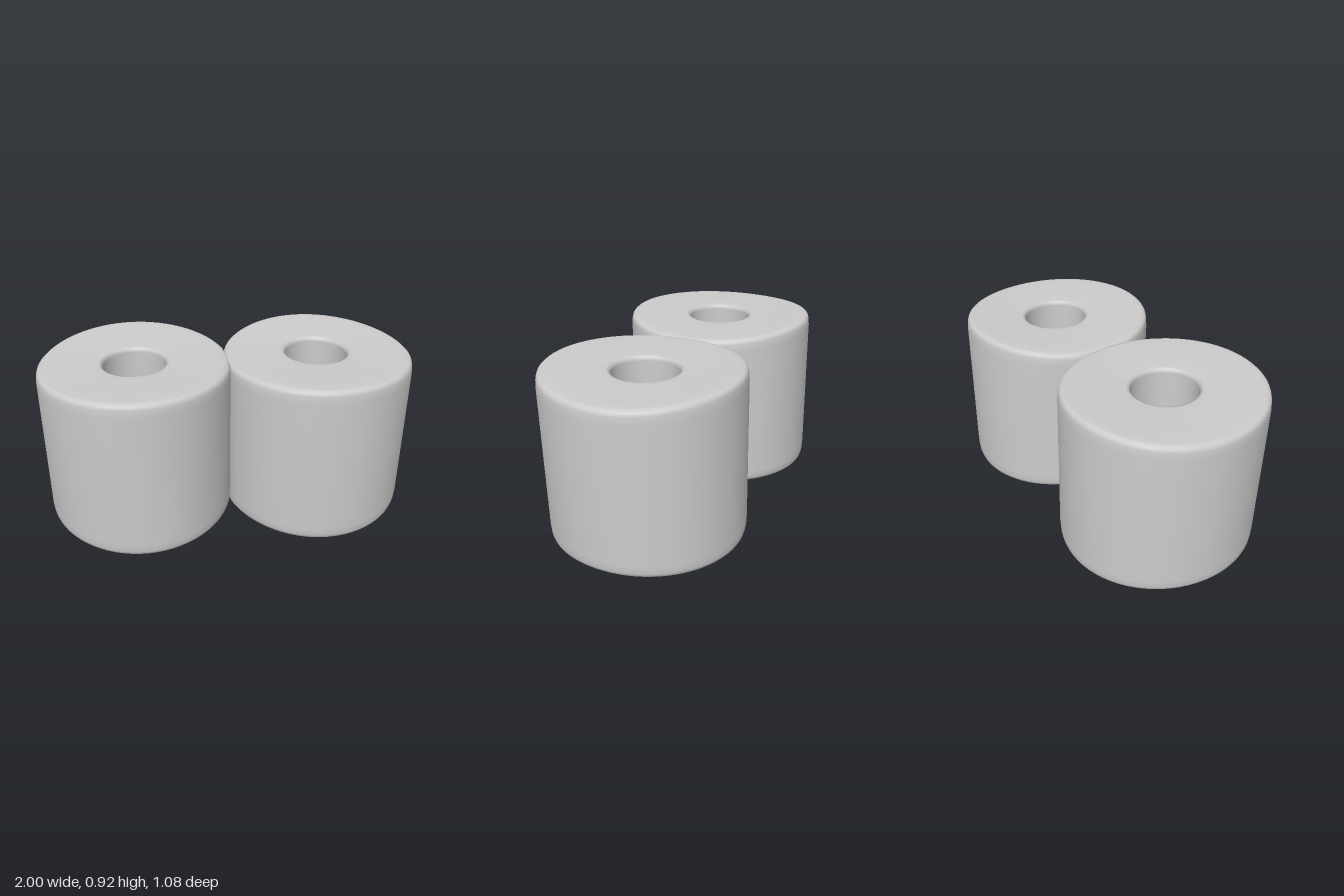
import * as THREE from 'three';
import { mergeVertices } from 'three/addons/utils/BufferGeometryUtils.js';

const HOLE = 0.167, OUTER = 0.51, HEIGHT = 0.9;

// Closed cross-section of a roll, with softly rounded rims
function rollProfile() {
  const half = [
    [HOLE, 0.5], [HOLE, 0.03], [HOLE + 0.005, 0.008], [HOLE + 0.02, 0],
    [0.26, 0], [0.34, 0], [0.42, 0], [0.475, 0.001],
    [0.492, 0.006], [0.502, 0.017], [0.507, 0.035], [OUTER, 0.08], [OUTER, 0.5],
  ];
  const bottom = half.map(([r, t]) => new THREE.Vector2(r, t));
  const top = half.slice(0, -1).reverse().map(([r, t]) => new THREE.Vector2(r, 1 - t));
  return [...bottom, ...top];
}

// One hollow roll, slightly oval, leaning and sagging, cut flat where it meets its twin
function rollGeometry(side, centerZ, depth) {
  let geo = new THREE.LatheGeometry(rollProfile(), 72);
  const pos = geo.attributes.position;
  for (let i = 0; i < pos.count; i++) {
    const px = pos.getX(i), t = pos.getY(i), pz = pos.getZ(i);
    const r = Math.hypot(px, pz);
    const k = THREE.MathUtils.clamp((r - HOLE) / (OUTER - HOLE), 0, 1);
    const stretch = THREE.MathUtils.lerp(1.03, depth / OUTER, k);
    let x = px + side * 0.49;
    if (x * side < 0) x = 0;
    const z = pz * stretch + centerZ * k - 0.004 * (1 - k) + (t - 0.5) * 0.016;
    // Ends bulge towards the front and back
    const w = Math.min(1, (pz / 0.5) ** 2);
    const low = 0.036 - w * (pz > 0 ? 0.032 : 0.012);
    const high = HEIGHT - 0.003 + w * (pz > 0 ? 0.013 : 0.03);
    pos.setXYZ(i, x, THREE.MathUtils.lerp(low, high, t), z);
  }
  geo.deleteAttribute('uv');
  geo.deleteAttribute('normal');
  geo = mergeVertices(geo, 1e-4);
  geo.computeVertexNormals();
  return geo;
}

export function createModel() {
  const group = new THREE.Group();
  group.name = 'twinRolls';
  const paper = new THREE.MeshStandardMaterial({ color: 0xcccaca });
  paper.name = 'paper grey';

  const rolls = [
    ['leftRoll', 1, 0.012, 0.517],
    ['rightRoll', -1, -0.007, 0.526],
  ];
  for (const [name, side, centerZ, depth] of rolls) {
    const mesh = new THREE.Mesh(rollGeometry(side, centerZ, depth), paper);
    mesh.name = name;
    group.add(mesh);
  }
  return group;
}
